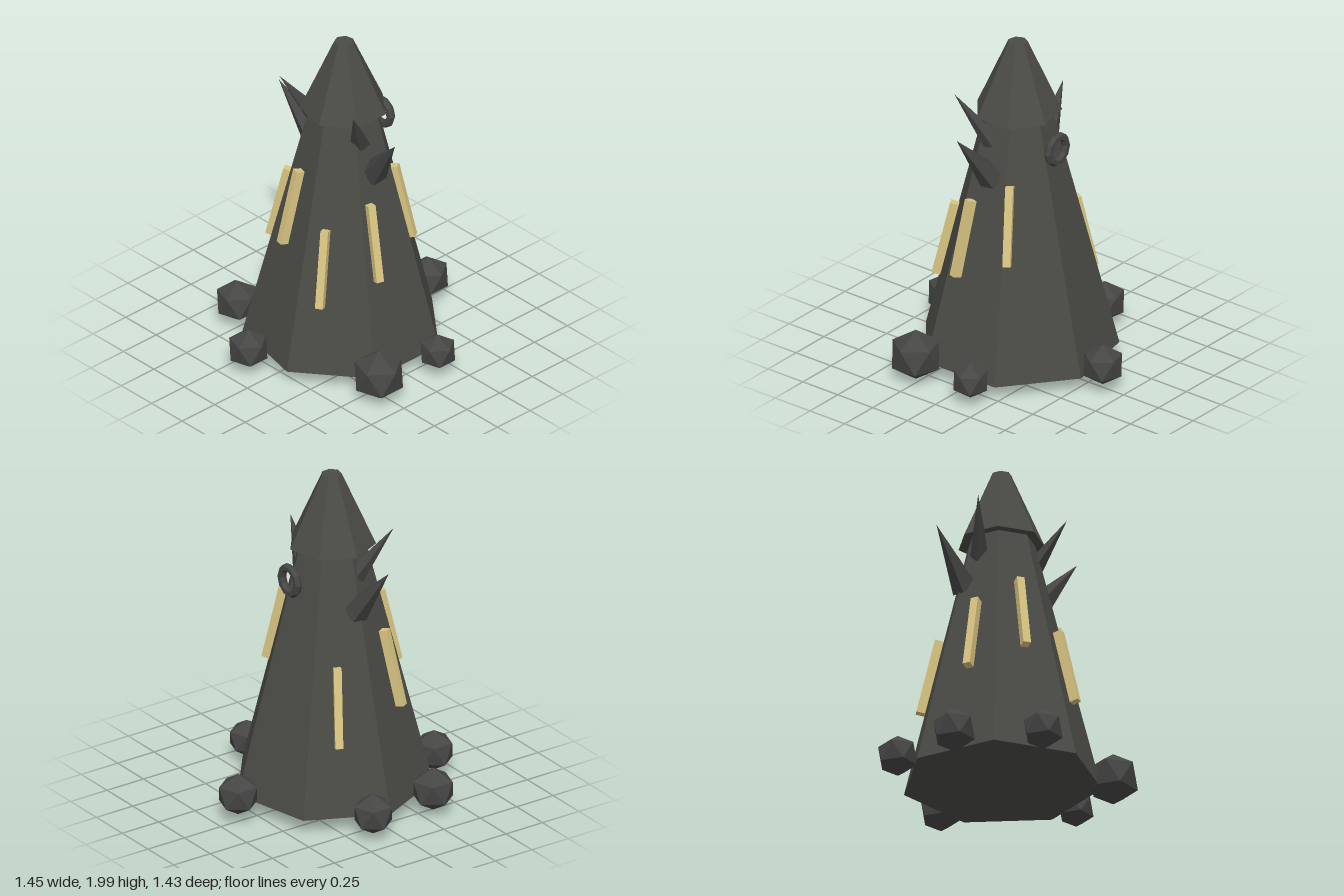
import * as THREE from 'three';

const CX = -0.01; // tower axis

export function createModel() {
  const model = new THREE.Group();
  const material = (name, color) => {
    const m = new THREE.MeshStandardMaterial({ color, flatShading: true });
    m.name = name;
    return m;
  };
  const stone = material('dark stone', 0x4b4b46);
  const rock = material('dark rock', 0x464645);
  const glow = material('pale gold', 0xdac682);

  const add = (name, geometry, mat, x, y, z) => {
    const mesh = new THREE.Mesh(geometry, mat);
    mesh.name = name;
    mesh.position.set(x, y, z);
    model.add(mesh);
    return mesh;
  };

  // Seven-sided tower and overhanging roof, one corner facing the back
  const tower = add('tower', new THREE.CylinderGeometry(0.195, 0.57, 1.47, 7), stone, CX, 0.835, 0);
  const roof = add('roof', new THREE.CylinderGeometry(0.057, 0.25, 0.43, 7), stone, CX, 1.785, 0);
  tower.rotation.y = roof.rotation.y = Math.PI;

  // Slit windows leaning with the walls: angle in degrees, radius, height
  const slit = new THREE.BoxGeometry(0.045, 0.46, 0.05);
  [
    [30, 0.345, 1.005], [-16, 0.374, 0.868], [-60, 0.408, 0.73],
    [-104, 0.342, 1.005], [-150, 0.378, 0.868], [150, 0.402, 0.73],
  ].forEach(([deg, r, y]) => {
    const a = THREE.MathUtils.degToRad(deg);
    const w = add('slitWindow', slit, glow, CX + r * Math.sin(a), y, r * Math.cos(a));
    w.rotation.set(-0.23, a, 0, 'YXZ');
  });

  // Boulders around the base, standing on a corner
  const boulder = new THREE.IcosahedronGeometry(1, 0);
  boulder.rotateZ(-Math.atan(2 / (1 + Math.sqrt(5))));
  boulder.rotateY(-Math.PI / 2);
  [
    [-0.28, 0.167, 0.575, 0.155], [0.14, 0.155, 0.61, 0.11],
    [0.617, 0.17, 0.02, 0.125], [0.133, 0.16, -0.605, 0.123],
    [-0.327, 0.16, -0.537, 0.13], [-0.62, 0.16, -0.132, 0.122],
  ].forEach(([x, y, z, r]) => add('boulder', boulder, rock, x, y, z).scale.setScalar(r));

  // Spikes leaning out of the wall, mirrored front and back
  const up = new THREE.Vector3(0, 1, 0);
  const spike = (name, base, tip, radius) => {
    const dir = tip.clone().sub(base);
    const length = dir.length();
    const geometry = new THREE.ConeGeometry(radius, length, 5);
    // put a flat side below and a ridge above
    geometry.rotateY(base.z > 0 ? Math.PI : 0);
    const mid = base.clone().add(tip).multiplyScalar(0.5);
    add(name, geometry, rock, mid.x, mid.y, mid.z)
      .quaternion.setFromUnitVectors(up, dir.normalize());
  };
  for (const s of [1, -1]) {
    spike('largeSpike', new THREE.Vector3(-0.005, 1.233, 0.235 * s),
      new THREE.Vector3(-0.065, 1.545, 0.477 * s), 0.08);
    spike('smallSpike', new THREE.Vector3(-0.05, 1.42, 0.17 * s),
      new THREE.Vector3(-0.222, 1.718, 0.302 * s), 0.06);
  }

  // Ring on the side wall
  add('ring', new THREE.TorusGeometry(0.077, 0.025, 6, 10), rock, 0.275, 1.41, 0.002)
    .rotation.y = Math.PI / 2;

  return model;
}
